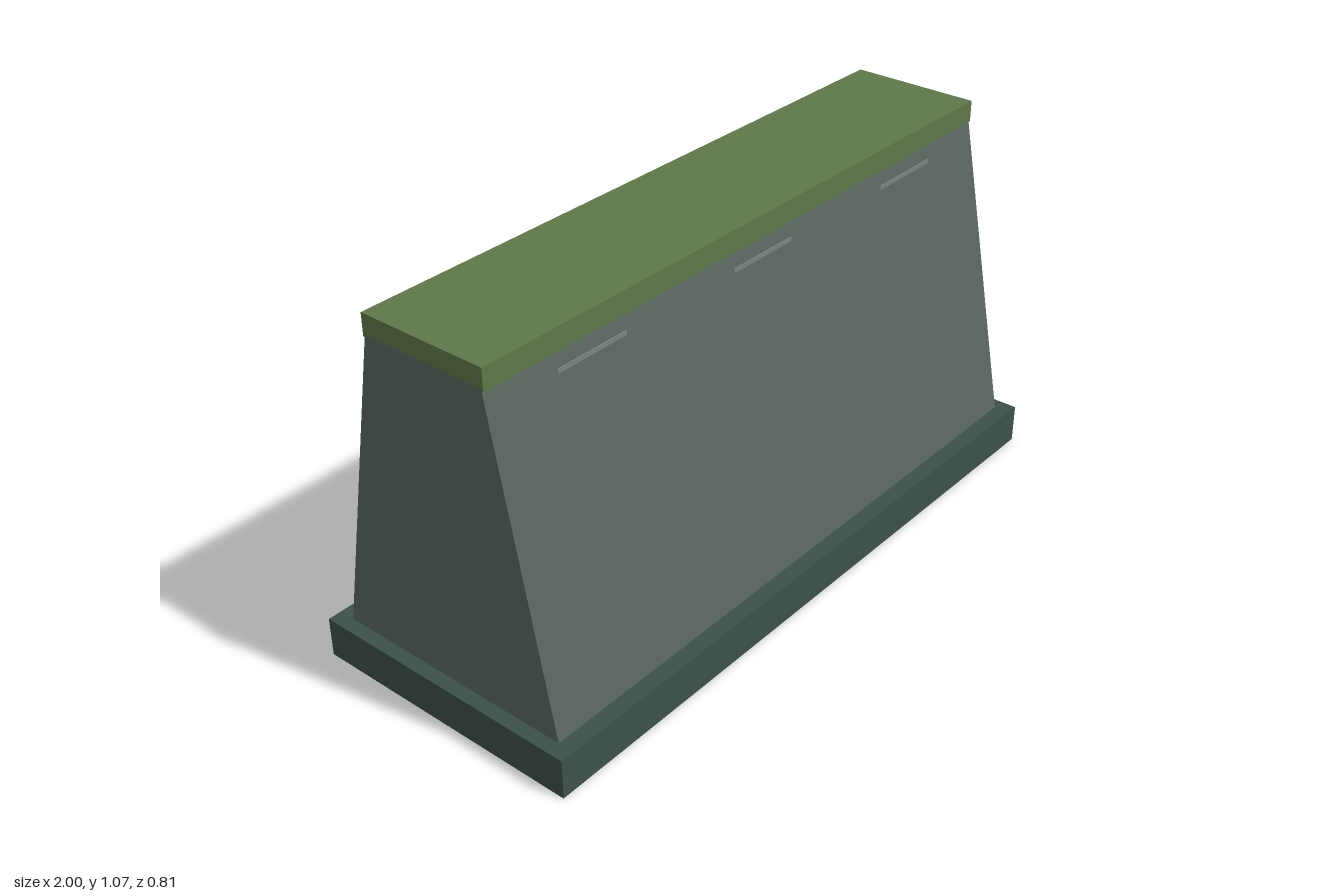
import * as THREE from 'three';

const paint = (color) => new THREE.MeshStandardMaterial({ color });

export function createModel() {
  const group = new THREE.Group();
  const stone = paint(0x59665f), dark = paint(0x3d504b), moss = paint(0x5f7649), pale = paint(0x7c8681);

  const add = (name, geometry, material, x = 0, y = 0, z = 0) => {
    const mesh = new THREE.Mesh(geometry, material);
    mesh.name = name;
    mesh.position.set(x, y, z);
    group.add(mesh);
    return mesh;
  };

  // Low plinth
  add('base', new THREE.BoxGeometry(2, 0.115, 0.815), dark, 0, 0.0575, 0);

  // Tapered wall: trapezoid section swept along x
  const length = 1.92, bottom = 0.383, top = 0.185, height = 1.01;
  const section = new THREE.Shape([
    new THREE.Vector2(-bottom, 0), new THREE.Vector2(bottom, 0),
    new THREE.Vector2(top, height), new THREE.Vector2(-top, height),
  ]);
  const wall = new THREE.ExtrudeGeometry(section, { depth: length, bevelEnabled: false });
  wall.translate(0, 0, -length / 2).rotateY(Math.PI / 2);
  add('wall', wall, stone);

  // Green capping slab
  add('cap', new THREE.BoxGeometry(length, 0.062, 0.382), moss, 0, 1.034, 0);

  // Thin strips under the cap on both faces
  const strip = new THREE.BoxGeometry(0.23, 0.012, 0.02);
  for (const side of [1, -1])
    for (const x of [-0.625, 0, 0.625])
      add('strip', strip, pale, x, 0.957, side * 0.187);

  return group;
}
